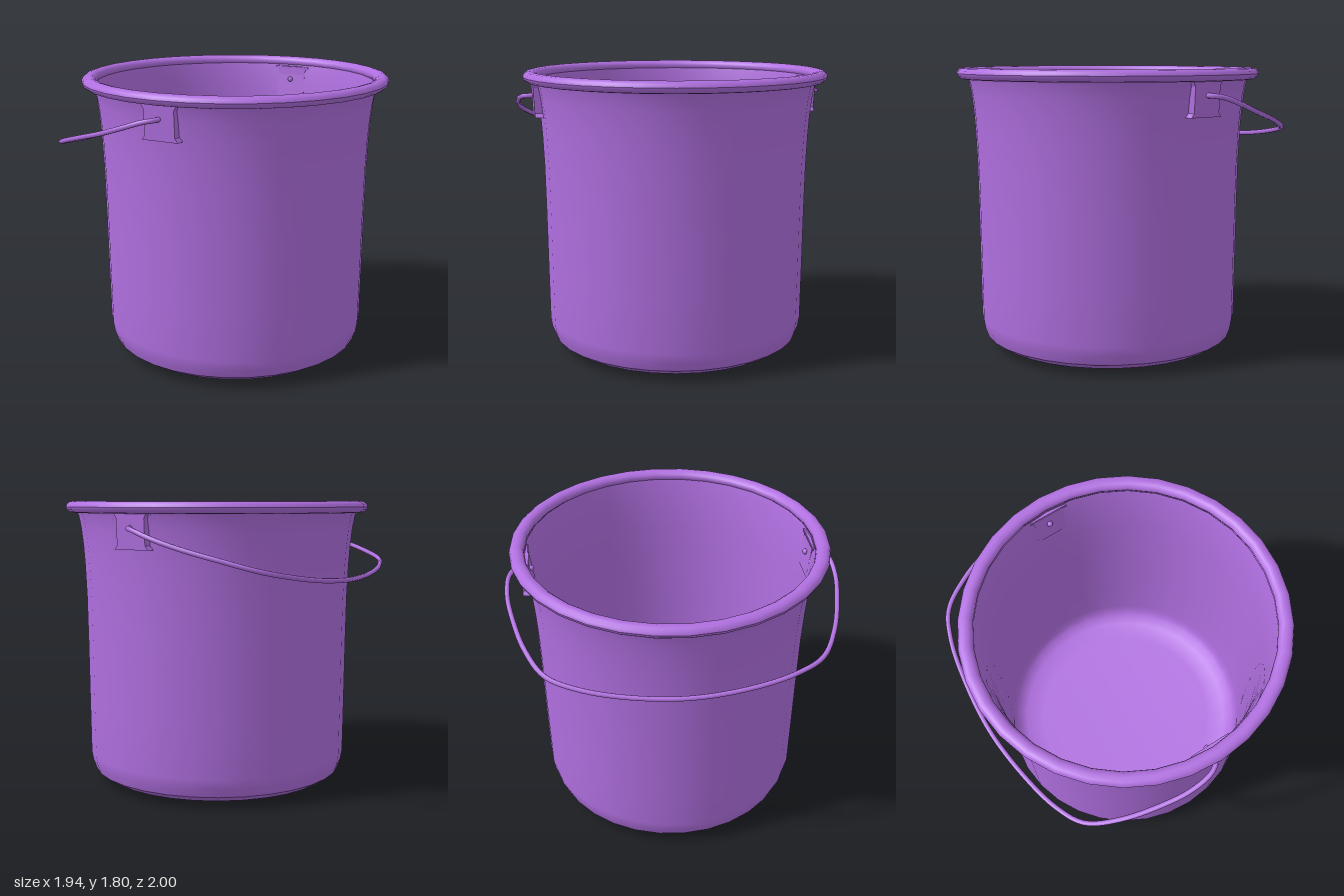
import * as THREE from 'three';

const material = new THREE.MeshStandardMaterial({ color: 0xb06fe0, side: THREE.DoubleSide });
const SIDES = 32;

function addMesh(parent, name, geometry) {
  const mesh = new THREE.Mesh(geometry, material);
  mesh.name = name;
  parent.add(mesh);
  return mesh;
}

// Turned surface from [radius, height] pairs
function lathe(profile) {
  return new THREE.LatheGeometry(profile.map(([r, y]) => new THREE.Vector2(r, y)), SIDES);
}

// Plate drawn as [x, y], extruded along z and leaned outward towards its top
function leaningPlate(outline, depth, z, lean) {
  const shape = new THREE.Shape(outline.map(([x, y]) => new THREE.Vector2(x, y)));
  const geometry = new THREE.ExtrudeGeometry(shape, { depth, bevelEnabled: false });
  const pos = geometry.attributes.position;
  for (let i = 0; i < pos.count; i++) {
    pos.setZ(i, pos.getZ(i) + z + (pos.getY(i) - 1.52) * lean);
  }
  geometry.computeVertexNormals();
  return geometry;
}

export function createModel() {
  const model = new THREE.Group();
  model.name = 'bucket';

  const pail = new THREE.Group();
  pail.name = 'pail';
  pail.position.x = 0.005;
  model.add(pail);

  // Wall, base and lining
  addMesh(pail, 'outerWall', lathe([
    [0.802, 0.075], [0.822, 0.13], [0.832, 0.19], [0.835, 0.5], [0.838, 0.9],
    [0.842, 1.2], [0.85, 1.4], [0.858, 1.52], [0.87, 1.63], [0.885, 1.71], [0.9, 1.74],
  ]));
  addMesh(pail, 'base', lathe([[0, 0], [0.4, 0.006], [0.62, 0.015], [0.74, 0.034], [0.802, 0.075]]));
  addMesh(pail, 'innerWall', lathe([
    [0.875, 1.745], [0.868, 1.71], [0.855, 1.63], [0.843, 1.52], [0.835, 1.4], [0.828, 1.2],
    [0.823, 0.9], [0.82, 0.5], [0.817, 0.19], [0.805, 0.13], [0.785, 0.085],
    [0.73, 0.05], [0.6, 0.03], [0, 0.015],
  ]));

  // Rolled rim
  const rimProfile = [];
  for (let i = 0; i <= 12; i++) {
    const a = (i / 12) * Math.PI * 2;
    rimProfile.push([0.918 + 0.045 * Math.cos(a), 1.761 + 0.036 * Math.sin(a)]);
  }
  addMesh(pail, 'rim', lathe(rimProfile));

  // Handle brackets, front and back, with a plate on both faces of the wall
  for (const side of [1, -1]) {
    const bracket = new THREE.Group();
    bracket.name = side > 0 ? 'frontBracket' : 'backBracket';
    bracket.rotation.y = side > 0 ? 0 : Math.PI;
    pail.add(bracket);
    addMesh(bracket, 'outerPlate', leaningPlate([
      [-0.12, 1.52], [0.12, 1.52], [0.1, 1.545], [0.1, 1.7], [0.12, 1.735],
      [-0.12, 1.735], [-0.1, 1.7], [-0.1, 1.545],
    ], 0.055, 0.843, 0.05));
    addMesh(bracket, 'innerPlate', leaningPlate([
      [-0.12, 1.52], [0.12, 1.52], [0.1, 1.545], [0.1, 1.7], [-0.1, 1.7], [-0.1, 1.545],
    ], 0.012, 0.832, 0.12));
    const tab = addMesh(bracket, 'topTab', new THREE.BoxGeometry(0.25, 0.012, 0.03));
    tab.position.set(0, 1.725, 0.865);
  }

  // Wire handle, mirrored about the middle and hanging to one side
  const half = [
    [0, 1.645, 0.84], [0, 1.645, 0.93], [-0.06, 1.635, 0.972], [-0.2, 1.59, 0.985], [-0.36, 1.54, 0.96],
    [-0.6, 1.475, 0.89], [-0.78, 1.42, 0.785], [-0.865, 1.385, 0.62], [-0.925, 1.35, 0.35],
  ];
  const points = [
    ...half,
    [-0.955, 1.335, 0],
    ...half.map(([x, y, z]) => [x, y, -z]).reverse(),
  ].map((p) => new THREE.Vector3(...p));
  const path = new THREE.CatmullRomCurve3(points, false, 'centripetal');
  addMesh(model, 'handle', new THREE.TubeGeometry(path, 96, 0.015, 8));
  for (const side of [1, -1]) {
    const end = addMesh(model, 'handleEnd', new THREE.SphereGeometry(0.018, 10, 8));
    end.position.set(0, 1.645, 0.84 * side);
  }

  return model;
}
